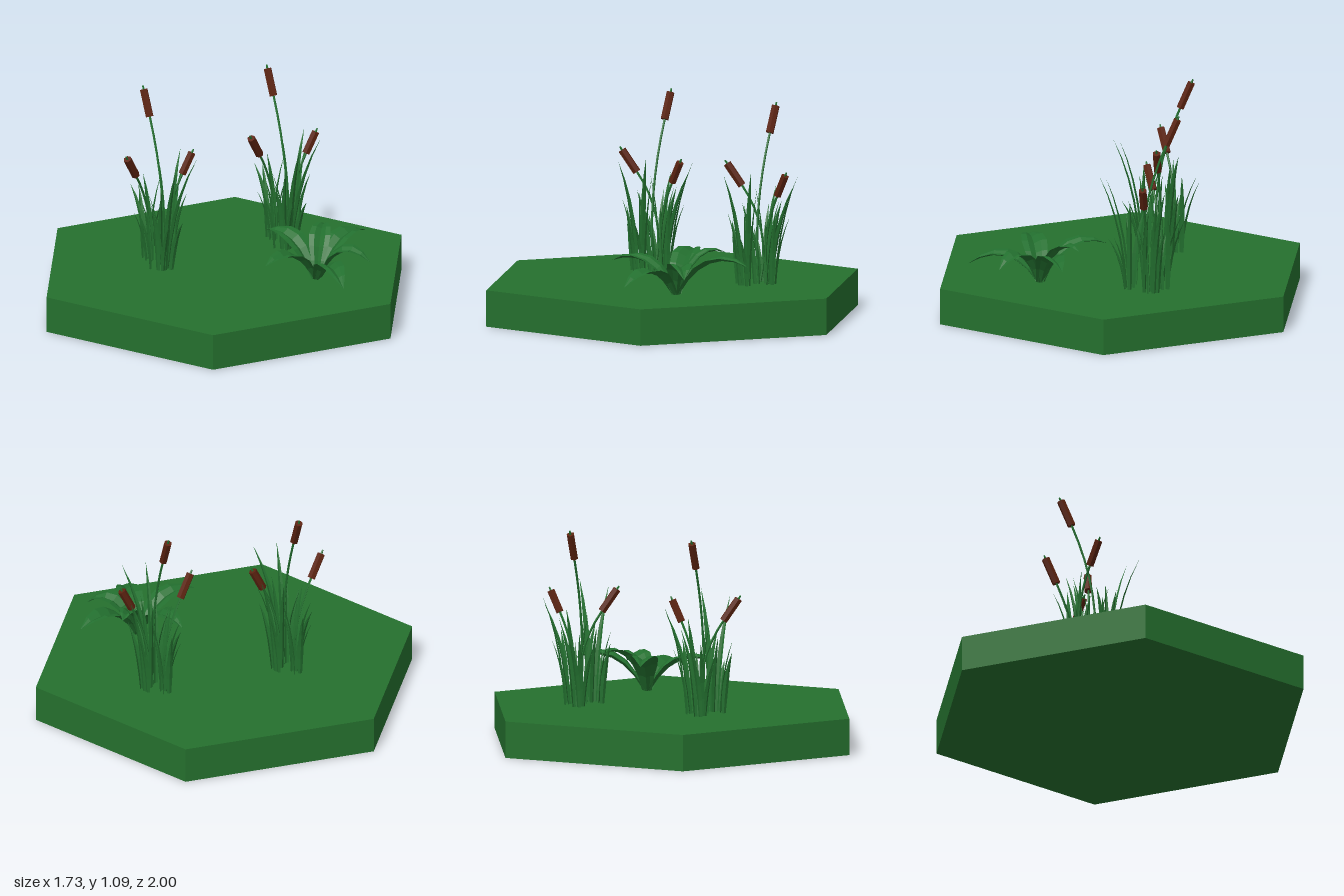
import * as THREE from 'three';

const soil = new THREE.MeshStandardMaterial({ color: 0x25702e, flatShading: true });
soil.name = 'ground green';
const leafy = new THREE.MeshStandardMaterial({ color: 0x23702f, flatShading: true, side: THREE.DoubleSide });
leafy.name = 'plant green';
const brown = new THREE.MeshStandardMaterial({ color: 0x5c2310, flatShading: true });
brown.name = 'seed head brown';

const GROUND = 0.185;
const v = (x, y, z) => new THREE.Vector3(x, y, z);

function add(parent, name, geometry, material) {
  const mesh = new THREE.Mesh(geometry, material);
  mesh.name = name;
  parent.add(mesh);
  return mesh;
}

// Folded ribbon swept along a curve; widths are half-widths, folds lift each column
function ribbon(curve, side, widths, folds) {
  const pos = [], index = [], cols = folds.length, rows = widths.length;
  widths.forEach((w, i) => {
    const t = i / (rows - 1);
    const p = curve.getPoint(t);
    const up = side.clone().cross(curve.getTangent(t)).normalize();
    if (up.y < 0) up.negate();
    folds.forEach((f, j) => {
      const s = (j / (cols - 1)) * 2 - 1;
      const q = p.clone().addScaledVector(side, s * w).addScaledVector(up, f * w);
      pos.push(q.x, q.y, q.z);
      if (i < rows - 1 && j < cols - 1) {
        const a = i * cols + j, b = a + cols;
        index.push(a, a + 1, b, a + 1, b + 1, b);
      }
    });
  });
  const g = new THREE.BufferGeometry();
  g.setAttribute('position', new THREE.Float32BufferAttribute(pos, 3));
  g.setIndex(index);
  const flat = g.toNonIndexed();
  flat.computeVertexNormals();
  return flat;
}

// Bulrush: bent stem, brown head from low to high, thin point on top
function bulrush(parent, base, low, high) {
  const dir = high.clone().sub(low);
  const length = dir.length();
  dir.normalize();
  const control = low.clone().addScaledVector(dir, -(low.y - GROUND) * 0.55);
  const curve = new THREE.QuadraticBezierCurve3(base, control, low);
  add(parent, 'bulrushStem', new THREE.TubeGeometry(curve, 8, 0.006, 5), leafy);
  const turn = new THREE.Quaternion().setFromUnitVectors(v(0, 1, 0), dir);
  const head = add(parent, 'bulrushHead', new THREE.CylinderGeometry(0.021, 0.021, length, 6), brown);
  head.position.copy(low).lerp(high, 0.5);
  head.quaternion.copy(turn);
  const point = add(parent, 'bulrushPoint', new THREE.CylinderGeometry(0.004, 0.006, 0.02, 5), leafy);
  point.position.copy(high).addScaledVector(dir, 0.01);
  point.quaternion.copy(turn);
}

// Grass blades: base x, base z, tip x, tip y, tip z
const BLADES = [
  [-0.06, -0.08, -0.15, 0.57, -0.14], [-0.08, -0.10, -0.11, 0.55, -0.18],
  [-0.04, -0.07, -0.08, 0.66, -0.04], [-0.05, -0.11, 0.00, 0.60, -0.15],
  [-0.07, -0.06, -0.13, 0.45, -0.05], [-0.03, -0.09, 0.01, 0.50, -0.06],
  [0.04, -0.08, 0.13, 0.70, -0.17], [0.05, -0.10, 0.10, 0.74, -0.20],
  [0.02, -0.06, 0.00, 0.68, -0.12], [0.07, -0.07, 0.14, 0.55, -0.06],
  [0.03, -0.11, 0.06, 0.52, -0.17], [0.06, -0.05, 0.10, 0.62, -0.10],
  [0.05, 0.06, 0.20, 0.79, 0.09], [0.04, 0.08, 0.10, 0.76, 0.20],
  [0.02, 0.05, -0.05, 0.58, 0.03], [0.07, 0.07, 0.13, 0.46, 0.13],
  [0.00, 0.08, -0.03, 0.55, 0.13], [0.06, 0.04, 0.09, 0.66, 0.02],
  [-0.04, 0.07, -0.10, 0.50, 0.08], [0.03, 0.09, 0.06, 0.44, 0.14],
  [0.01, 0.00, 0.02, 0.60, 0.07], [-0.05, -0.05, -0.08, 0.52, 0.01]
];

function reedClump(x, z) {
  const clump = new THREE.Group();
  clump.name = 'reedClump';
  clump.position.set(x, 0, z);
  BLADES.forEach(([bx, bz, tx, ty, tz], i) => {
    const base = v(bx, GROUND, bz), tip = v(tx, ty, tz);
    const control = base.clone().lerp(tip, 0.2);
    control.y = GROUND + (ty - GROUND) * 0.6;
    const angle = Math.atan2(tx - bx, tz - bz) + Math.PI / 2 + (i % 3 - 1) * 0.5;
    const side = v(Math.sin(angle), 0, Math.cos(angle));
    const curve = new THREE.QuadraticBezierCurve3(base, control, tip);
    add(clump, 'grassBlade', ribbon(curve, side, [0.011, 0.015, 0.015, 0.012, 0.007, 0], [0.5, 0, 0.5]), leafy);
  });
  bulrush(clump, v(0.02, GROUND, -0.02), v(-0.05, 0.94, -0.105), v(-0.083, 1.07, -0.15));
  bulrush(clump, v(-0.04, GROUND, -0.05), v(-0.113, 0.67, 0.02), v(-0.152, 0.78, 0.085));
  bulrush(clump, v(0.04, GROUND, -0.06), v(0.115, 0.645, -0.083), v(0.162, 0.75, -0.107));
  return clump;
}

// Broad leaves: tip x, y, z, arch height, half width
const LEAVES = [
  [0.75, 0.30, 0.22, 0.44, 0.065], [0.71, 0.34, -0.14, 0.44, 0.065],
  [0.50, 0.39, -0.10, 0.45, 0.055], [0.20, 0.36, -0.06, 0.44, 0.07],
  [0.23, 0.34, 0.41, 0.42, 0.065], [0.63, 0.26, 0.50, 0.40, 0.065]
];

function broadLeafPlant(x, z) {
  const plant = new THREE.Group();
  plant.name = 'broadLeafPlant';
  for (const [tx, ty, tz, arch, width] of LEAVES) {
    const out = v(tx - x, 0, tz - z).normalize();
    const base = v(x, GROUND, z).addScaledVector(out, 0.015);
    const control = v(x + (tx - x) * 0.42, arch, z + (tz - z) * 0.42);
    const curve = new THREE.QuadraticBezierCurve3(base, control, v(tx, ty, tz));
    const side = v(out.z, 0, -out.x);
    const widths = [0.35, 0.6, 0.9, 1, 0.85, 0.5, 0].map(k => k * width);
    add(plant, 'broadLeaf', ribbon(curve, side, widths, [0.35, 0.32, 0, 0.32, 0.35]), leafy);
  }
  return plant;
}

export function createModel() {
  const model = new THREE.Group();
  model.name = 'marshTile';
  // Six-sided ground tile with corners toward front and back
  const tile = add(model, 'groundTile', new THREE.CylinderGeometry(1, 1, GROUND, 6), soil);
  tile.position.y = GROUND / 2;
  model.add(reedClump(-0.33, 0), reedClump(0.275, -0.335), broadLeafPlant(0.475, 0.16));
  return model;
}
